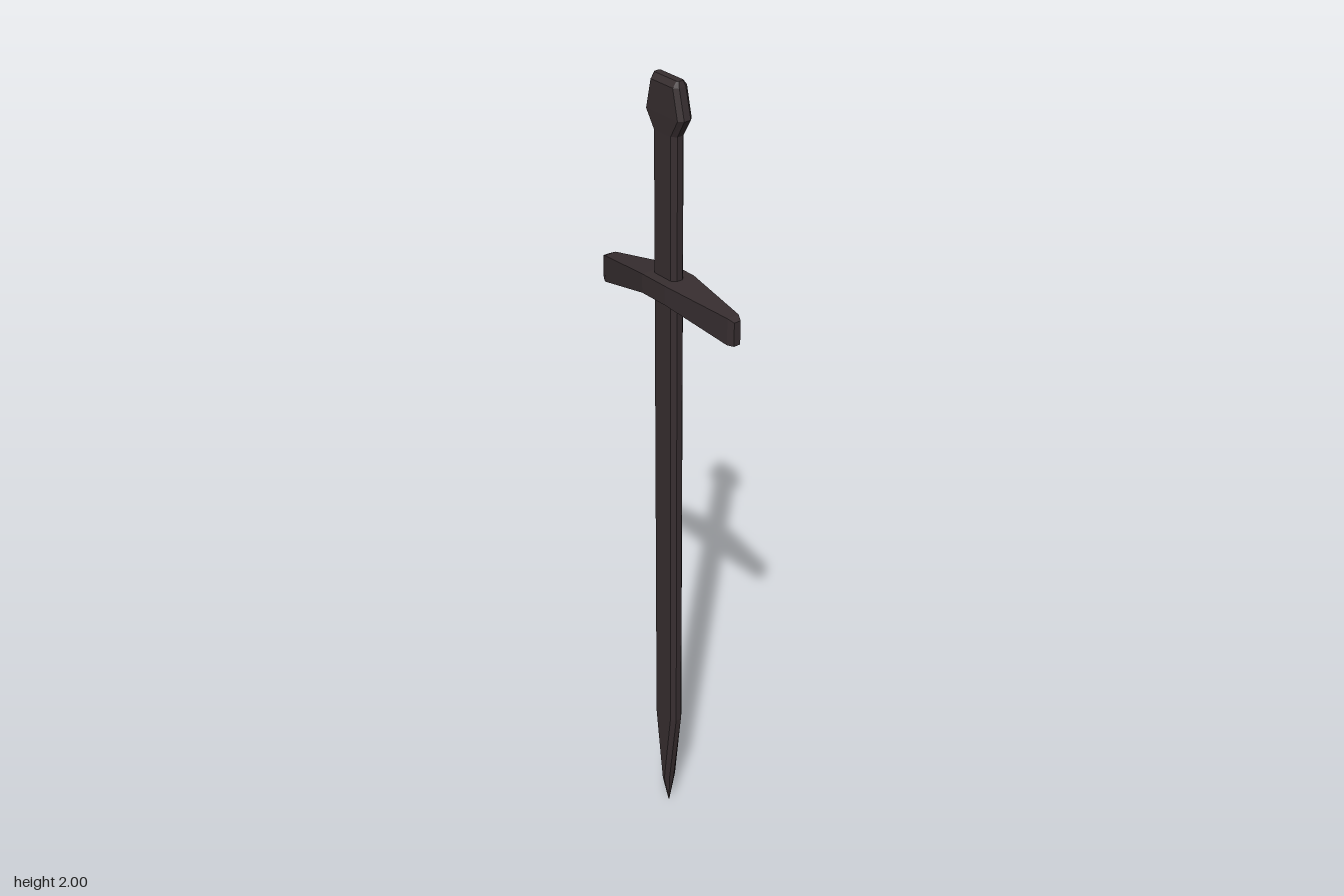
import * as THREE from 'three';

const CX = -0.006, CZ = -0.0035; // the blade axis sits slightly off centre

// Skin a list of equal-length rings (counterclockwise about the travel axis), capped at both ends
function loft(rings) {
  const pos = [];
  const tri = (...pts) => pts.forEach(p => pos.push(p.x, p.y, p.z));
  const n = rings[0].length;
  for (let k = 0; k < rings.length - 1; k++) {
    const lo = rings[k], hi = rings[k + 1];
    for (let i = 0; i < n; i++) {
      const j = (i + 1) % n;
      tri(lo[i], lo[j], hi[j]);
      tri(lo[i], hi[j], hi[i]);
    }
  }
  const first = rings[0], last = rings[rings.length - 1];
  for (let i = 1; i < n - 1; i++) {
    tri(first[0], first[i + 1], first[i]);
    tri(last[0], last[i], last[i + 1]);
  }
  const geo = new THREE.BufferGeometry();
  geo.setAttribute('position', new THREE.Float32BufferAttribute(pos, 3));
  geo.computeVertexNormals();
  return geo;
}

// Bevelled eight-sided section: half width, half depth, bevel width, edge half depth
function section([y, w, d, bevel, edge]) {
  const f = w - bevel;
  return [[w, edge], [w, -edge], [f, -d], [-f, -d], [-w, -edge], [-w, edge], [-f, d], [f, d]]
    .map(([x, z]) => new THREE.Vector3(CX + x, y, CZ + z));
}

// Rectangular guard section: x, bottom, top, half depth
function guardSection([x, bottom, top, d]) {
  const z = -0.002;
  return [[bottom, -d], [top, -d], [top, d], [bottom, d]]
    .map(([y, s]) => new THREE.Vector3(x, y, z + s));
}

export function createModel() {
  const group = new THREE.Group();
  const darkIron = new THREE.MeshStandardMaterial({ color: 0x372e30 });
  darkIron.name = 'darkIron';
  const add = (name, rings) => {
    const mesh = new THREE.Mesh(loft(rings), darkIron);
    mesh.name = name;
    group.add(mesh);
  };

  // Blade with bevelled edges and a tapering point
  add('blade', [
    [0, 0.001, 0.001, 0.0005, 0.0005],
    [0.08, 0.011, 0.018, 0.008, 0.007],
    [0.29, 0.039, 0.018, 0.011, 0.008],
    [1.5, 0.039, 0.018, 0.011, 0.008],
  ].map(section));

  // Grip
  add('grip', [
    [1.5, 0.039, 0.018, 0.011, 0.008],
    [1.885, 0.039, 0.018, 0.011, 0.008],
  ].map(section));

  // Flared pommel with a bevelled top
  add('pommel', [
    [1.875, 0.039, 0.018, 0.011, 0.008],
    [1.917, 0.063, 0.0195, 0.01, 0.009],
    [1.987, 0.046, 0.0195, 0.009, 0.009],
    [2, 0.041, 0.009, 0.004, 0.006],
  ].map(section));

  // Drooping crossguard, tapered towards bevelled ends
  add('crossguard', [
    [-0.233, 1.442, 1.501, 0.009],
    [-0.218, 1.441, 1.508, 0.016],
    [-0.047, 1.487, 1.534, 0.042],
    [0.033, 1.487, 1.534, 0.042],
    [0.216, 1.453, 1.518, 0.016],
    [0.231, 1.453, 1.511, 0.009],
  ].map(guardSection));

  return group;
}
